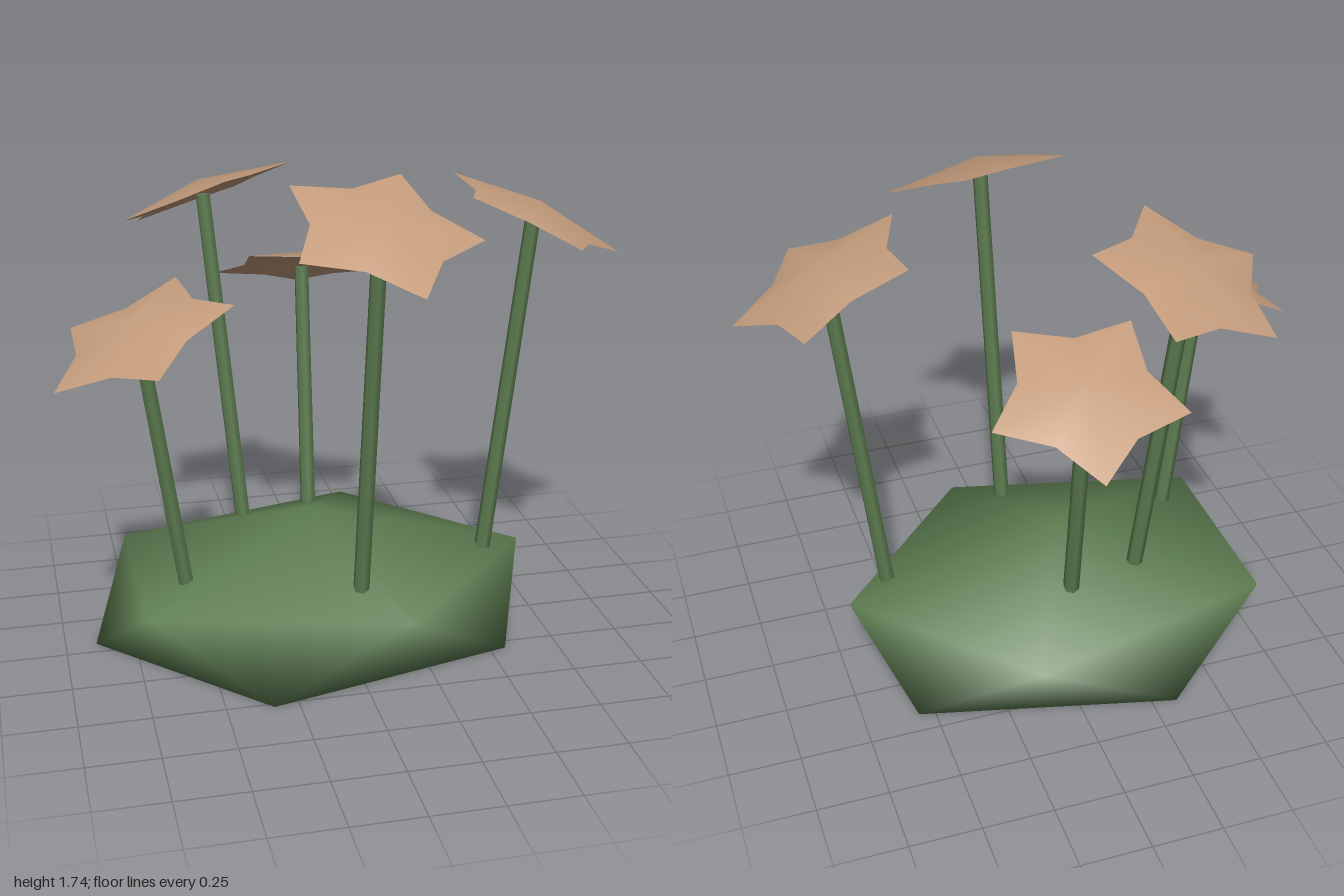
import * as THREE from 'three';

const leafGreen = new THREE.MeshStandardMaterial({ color: 0x5c7c50 });
leafGreen.name = 'leaf green';
const petalTan = new THREE.MeshStandardMaterial({ color: 0xc49c7c, side: THREE.DoubleSide });
petalTan.name = 'petal tan';

const CENTRE = { x: -0.09, z: -0.06 }; // middle of the mound
const TILT = 0.45; // outward slope of the flowers

function indexed(points, faces) {
  const g = new THREE.BufferGeometry();
  g.setAttribute('position', new THREE.Float32BufferAttribute(points.flat(), 3));
  g.setIndex(faces.flat());
  g.computeVertexNormals();
  return g;
}

// Low mound: apex, two staggered five-sided rings and a flat underside
function makeMound() {
  const points = [[CENTRE.x, 0.47, CENTRE.z]];
  const faces = [];
  for (const [y, turn] of [[0.26, 0], [0, Math.PI / 5]]) {
    for (let i = 0; i < 5; i++) {
      const a = (i * 2 * Math.PI) / 5 + turn;
      points.push([CENTRE.x + 0.8 * Math.cos(a), y, CENTRE.z + 0.61 * Math.sin(a)]);
    }
  }
  points.push([CENTRE.x, 0, CENTRE.z]);
  for (let i = 0; i < 5; i++) {
    const j = (i + 1) % 5;
    const u = 1 + i, v = 1 + j, p = 6 + i, q = 6 + j;
    faces.push([0, v, u], [u, v, p], [p, v, q], [11, p, q]);
  }
  const mesh = new THREE.Mesh(indexed(points, faces), leafGreen);
  mesh.name = 'mound';
  return mesh;
}

// Shallow five-pointed star with a raised middle, first point along +x
function makeStarGeometry() {
  const points = [[0, 0.055, 0]];
  const faces = [];
  for (let i = 0; i < 10; i++) {
    const a = (i * Math.PI) / 5;
    const r = i % 2 ? 0.225 : 0.34;
    points.push([r * Math.cos(a), 0, r * Math.sin(a)]);
    faces.push([0, 1 + ((i + 1) % 10), 1 + i]);
  }
  return indexed(points, faces);
}

function makeStem(from, to) {
  const dir = to.clone().sub(from);
  const mesh = new THREE.Mesh(new THREE.CylinderGeometry(0.027, 0.029, dir.length(), 6), leafGreen);
  mesh.position.copy(from).add(to).multiplyScalar(0.5);
  mesh.quaternion.setFromUnitVectors(new THREE.Vector3(0, 1, 0), dir.normalize());
  mesh.name = 'stem';
  return mesh;
}

// Flower head leaning away from the mound, one point aimed straight down the slope
function makeFlower(geometry, at) {
  const azimuth = Math.atan2(at.z - CENTRE.z, at.x - CENTRE.x);
  const mesh = new THREE.Mesh(geometry, petalTan);
  mesh.position.copy(at);
  mesh.rotation.set(0, -azimuth, -Math.atan(TILT), 'YXZ');
  mesh.name = 'flowerHead';
  return mesh;
}

export function createModel() {
  const model = new THREE.Group();
  model.name = 'flowerClump';
  model.add(makeMound());

  const star = makeStarGeometry();
  // Foot and top of each stem
  const plants = [
    ['leftOuter', [0.55, 0.28, 0.015], [0.69, 1.54, 0.035]],
    ['front', [0.01, 0.31, 0.33], [0.03, 1.63, 0.475]],
    ['rightOuter', [-0.575, 0.3, 0.125], [-0.71, 1.245, 0.175]],
    ['backRight', [-0.305, 0.37, -0.275], [-0.405, 1.575, -0.385]],
    ['back', [-0.04, 0.36, -0.335], [-0.03, 1.26, -0.475]],
  ];
  for (const [name, foot, top] of plants) {
    const plant = new THREE.Group();
    plant.name = name + 'Flower';
    const head = new THREE.Vector3(...top);
    plant.add(makeStem(new THREE.Vector3(...foot), head), makeFlower(star, head));
    model.add(plant);
  }
  return model;
}
